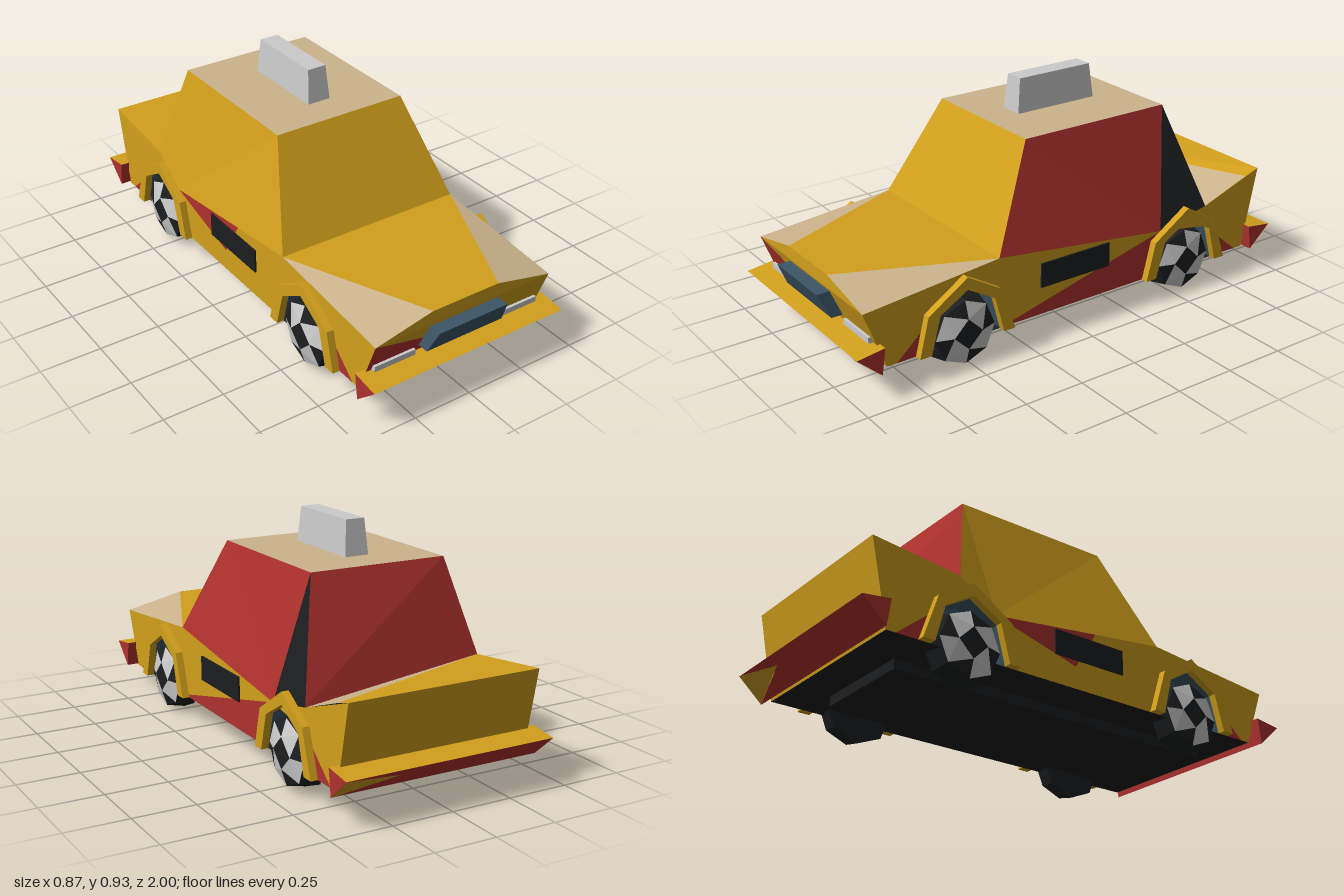
import * as THREE from 'three';

const YELLOW = 0xd2a01c, RED = 0xb0322e, BEIGE = 0xccb48c, BLACK = 0x1c1e20, BLUE = 0x3c5666, GREY = 0xcccccc;

const mat = (color) => new THREE.MeshStandardMaterial({ color, flatShading: true, side: THREE.DoubleSide });

export function createModel() {
  const car = new THREE.Group();
  car.name = 'car';

  const add = (name, color, geo, parent = car) => {
    const mesh = new THREE.Mesh(geo, mat(color));
    mesh.name = name;
    parent.add(mesh);
    return mesh;
  };

  // Flat faces, each a loop of [x, y, z] corners fanned into triangles
  const facets = (name, color, faces, parent) => {
    const pos = [];
    for (const f of faces)
      for (let i = 1; i < f.length - 1; i++) pos.push(...f[0], ...f[i], ...f[i + 1]);
    const geo = new THREE.BufferGeometry();
    geo.setAttribute('position', new THREE.Float32BufferAttribute(pos, 3));
    geo.computeVertexNormals();
    return add(name, color, geo, parent);
  };

  const box = (name, color, w, h, d, x, y, z) =>
    add(name, color, new THREE.BoxGeometry(w, h, d).translate(x, y, z));

  // Outlines drawn in the side plane as [z, y]
  const shapeOf = (pts) => new THREE.Shape(pts.map(([z, y]) => new THREE.Vector2(z, y)));
  const sidePanel = (name, color, x, pts) =>
    add(name, color, new THREE.ShapeGeometry(shapeOf(pts)).rotateY(-Math.PI / 2).translate(x, 0, 0));

  // Corner points of the shell; s is the side (+1 left, -1 right)
  const cowl = (s) => [s * 0.4, 0.4, 0.37];
  const roofFront = (s) => [s * 0.287, 0.79, 0.17];
  const roofBack = (s) => [s * 0.287, 0.79, -0.5];
  const deckFront = (s) => (s > 0 ? [0.4, 0.35, -0.66] : [-0.4, 0.41, -0.58]);
  const deckBack = (s) => [s * 0.4, 0.45, -0.95];
  const waist = (s) => [s * 0.4, 0.3, -0.42];
  const hoodTip = (s) => [s * 0.15, 0.4, 0.95];
  const hoodCorner = (s) => [s * 0.4, 0.345, 0.95];
  const noseLow = (s) => [s * 0.4, 0.11, 0.86];
  const tailLow = (s) => [s * 0.4, 0.11, -0.88];

  // Cabin, hood, deck, nose and tail
  facets('roof', BEIGE, [[roofFront(-1), roofFront(1), roofBack(1), roofBack(-1)]]);
  facets('windshield', YELLOW, [[cowl(-1), cowl(1), roofFront(1), roofFront(-1)]]);
  facets('rearWindow', RED, [[deckFront(1), deckFront(-1), roofBack(-1), roofBack(1)]]);
  facets('hood', YELLOW, [[hoodTip(-1), hoodTip(1), cowl(1), cowl(-1)]]);
  facets('hoodCornerLeft', BEIGE, [[hoodTip(1), hoodCorner(1), cowl(1)]]);
  facets('hoodCornerRight', BEIGE, [[hoodCorner(-1), hoodTip(-1), cowl(-1)]]);
  const deckEdge = [0.4, 0.43, -0.88];
  facets('trunkLid', YELLOW, [[deckFront(-1), deckEdge, deckBack(1), deckBack(-1)]]);
  facets('trunkLidStripe', BEIGE, [[deckFront(-1), deckFront(1), deckEdge]]);
  facets('nosePanel', YELLOW, [[hoodCorner(-1), noseLow(1), hoodCorner(1)], [hoodCorner(-1), hoodCorner(1), hoodTip(1), hoodTip(-1)]]);
  facets('noseLowerPanel', RED, [[hoodCorner(-1), noseLow(-1), noseLow(1)]]);
  facets('tailPanel', YELLOW, [[tailLow(1), tailLow(-1), deckBack(-1), deckBack(1)]]);
  facets('floor', BLACK, [[noseLow(1), noseLow(-1), tailLow(-1), tailLow(1)]]);
  box('chassis', BLACK, 0.44, 0.04, 1.48, 0, 0.09, 0.01);

  // Wheel openings, from front leg to back leg
  const arch = (z) => [[z + 0.16, 0.11], [z + 0.12, 0.26], [z, 0.33], [z - 0.12, 0.26], [z - 0.16, 0.11]];
  const flareOuter = (z) => [[z + 0.21, 0.11], [z + 0.17, 0.27], [z, 0.38], [z - 0.15, 0.29], [z - 0.21, 0.11]];
  const axles = [0.53, -0.54];
  const [fa, ra] = axles.map(arch);
  const w = [-0.42, 0.3];

  for (const s of [1, -1]) {
    const left = s > 0, x = s * 0.4, label = left ? 'Left' : 'Right';
    const c = deckFront(s);

    // Cabin side and rear pillar
    const cabin = left ? RED : YELLOW;
    facets('cabinSide' + label, cabin, [[cowl(s), waist(s), roofFront(s)], [roofFront(s), waist(s), roofBack(s)]]);
    facets('rearPillar' + label, left ? BLACK : YELLOW, [[roofBack(s), waist(s), c]]);

    // Lower side with the wheel openings left free
    const front = [[0.82, 0.11], [0.86, 0.11], [0.95, 0.345], [0.37, 0.4]];
    const openingTop = [fa[4], fa[3], fa[2], fa[1]];
    if (left) {
      sidePanel('frontFender' + label, YELLOW, x, [...front, w, ...openingTop]);
      sidePanel('sill' + label, RED, x, [fa[4], w, ra[1], ra[0]]);
    } else {
      const p = [0.05, 0.36], q = [-0.05, 0.2];
      sidePanel('frontFender' + label, YELLOW, x, [...front, p, q, w, ra[1], ra[0], ...openingTop]);
      sidePanel('doorPatch' + label, RED, x, [p, q, w]);
    }
    sidePanel('frontFenderCorner' + label, RED, x, [[0.82, 0.11], fa[1], fa[0]]);
    sidePanel('rearFender' + label, YELLOW, x,
      [w, [c[2], c[1]], [-0.95, 0.45], [-0.88, 0.11], [-0.84, 0.11], ra[3], ra[2], ra[1]]);
    sidePanel('rearFenderCorner' + label, RED, x, [ra[3], [-0.84, 0.11], ra[4]]);
    box('doorPlate' + label, BLACK, 0.01, 0.1, 0.33, s * 0.402, 0.275, 0.015);

    axles.forEach((z, k) => {
      const end = (k ? 'Rear' : 'Front') + label;

      // Flared wheel arch and its liner
      const ring = shapeOf([...flareOuter(z), ...arch(z).reverse()]);
      const flare = new THREE.ExtrudeGeometry(ring, { depth: 0.03, bevelEnabled: false });
      add('wheelArch' + end, YELLOW, flare.rotateY(-Math.PI / 2).translate(left ? 0.43 : -0.4, 0, 0));
      const a = arch(z), liner = [a.map(([pz, py]) => [s * 0.31, py, pz])];
      for (let i = 0; i < 4; i++) {
        const [[z0, y0], [z1, y1]] = [a[i], a[i + 1]];
        liner.push([[x, y0, z0], [x, y1, z1], [s * 0.31, y1, z1], [s * 0.31, y0, z0]]);
      }
      facets('archLiner' + end, BLUE, liner);

      // Eight-sided tyre with a faceted hub
      const wheel = new THREE.Group();
      wheel.name = 'wheel' + end;
      wheel.position.set(0, 0.148, z);
      car.add(wheel);
      const tyre = new THREE.CylinderGeometry(0.13, 0.148, 0.08, 8);
      add('tyre', BLACK, tyre.rotateZ(-s * Math.PI / 2).translate(s * 0.37, 0, 0), wheel);
      const pt = (r, px, i) => [s * px, r * Math.cos(i * Math.PI / 4), r * Math.sin(i * Math.PI / 4)];
      const out = (i) => pt(0.13, 0.41, i), hub = (i) => pt(0.062, 0.432, i);
      const light = [], dark = [[0, 2, 4, 6].map(hub)];
      for (let i = 0; i < 8; i += 2) {
        light.push([hub(i), out(i + 1), hub(i + 2)], [hub(i), out(i - 1), out(i)]);
        dark.push([hub(i), out(i), out(i + 1)]);
      }
      facets('hubLight', GREY, light, wheel);
      facets('hubDark', BLACK, dark, wheel);
    });
  }

  // Wedge-shaped bumpers, d = +1 front, -1 rear
  for (const d of [1, -1]) {
    const end = d > 0 ? 'front' : 'rear';
    const tip = (s) => [s * 0.437, 0.195, d], back = (s) => [s * 0.437, 0.21, d * 0.885], low = (s) => [s * 0.437, 0.105, d * 0.9];
    facets(end + 'BumperTop', YELLOW, [[tip(-1), tip(1), back(1), back(-1)]]);
    const corner = [0.2, 0.165, d * 0.967];
    facets(end + 'BumperFace', RED, [[tip(-1), low(-1), low(1), corner, tip(1)],
      [back(-1), back(1), low(1), low(-1)], ...[1, -1].map((s) => [tip(s), back(s), low(s)])]);
    facets(end + 'BumperPatch', YELLOW, [[corner, low(1), tip(1)].map(([px, py, pz]) => [px, py, pz + d * 0.002])]);
  }

  // Grille wedge and headlight strips
  const gt = (s, z) => [s * 0.155, 0.335, z], gb = (s, z) => [s * 0.175, 0.237, z];
  facets('grille', BLUE, [[gb(-1, 0.955), gb(1, 0.955), gt(1, 1), gt(-1, 1)],
    [gt(-1, 1), gt(1, 1), gt(1, 0.94), gt(-1, 0.94)], [gb(-1, 0.955), gb(1, 0.955), gb(1, 0.9), gb(-1, 0.9)],
    ...[1, -1].map((s) => [gb(s, 0.955), gt(s, 1), gt(s, 0.94), gb(s, 0.9)])]);
  for (const s of [1, -1]) box('headlight', GREY, 0.18, 0.023, 0.03, s * 0.287, 0.222, 0.904);

  // Tapered roof sign
  const sign = new THREE.BoxGeometry(0.1, 0.14, 0.37);
  const p = sign.attributes.position;
  for (let i = 0; i < p.count; i++)
    if (p.getY(i) > 0) p.setXYZ(i, p.getX(i) * 0.8, p.getY(i), p.getZ(i) * 0.92);
  add('roofSign', GREY, sign.translate(-0.004, 0.86, -0.155));

  return car;
}
